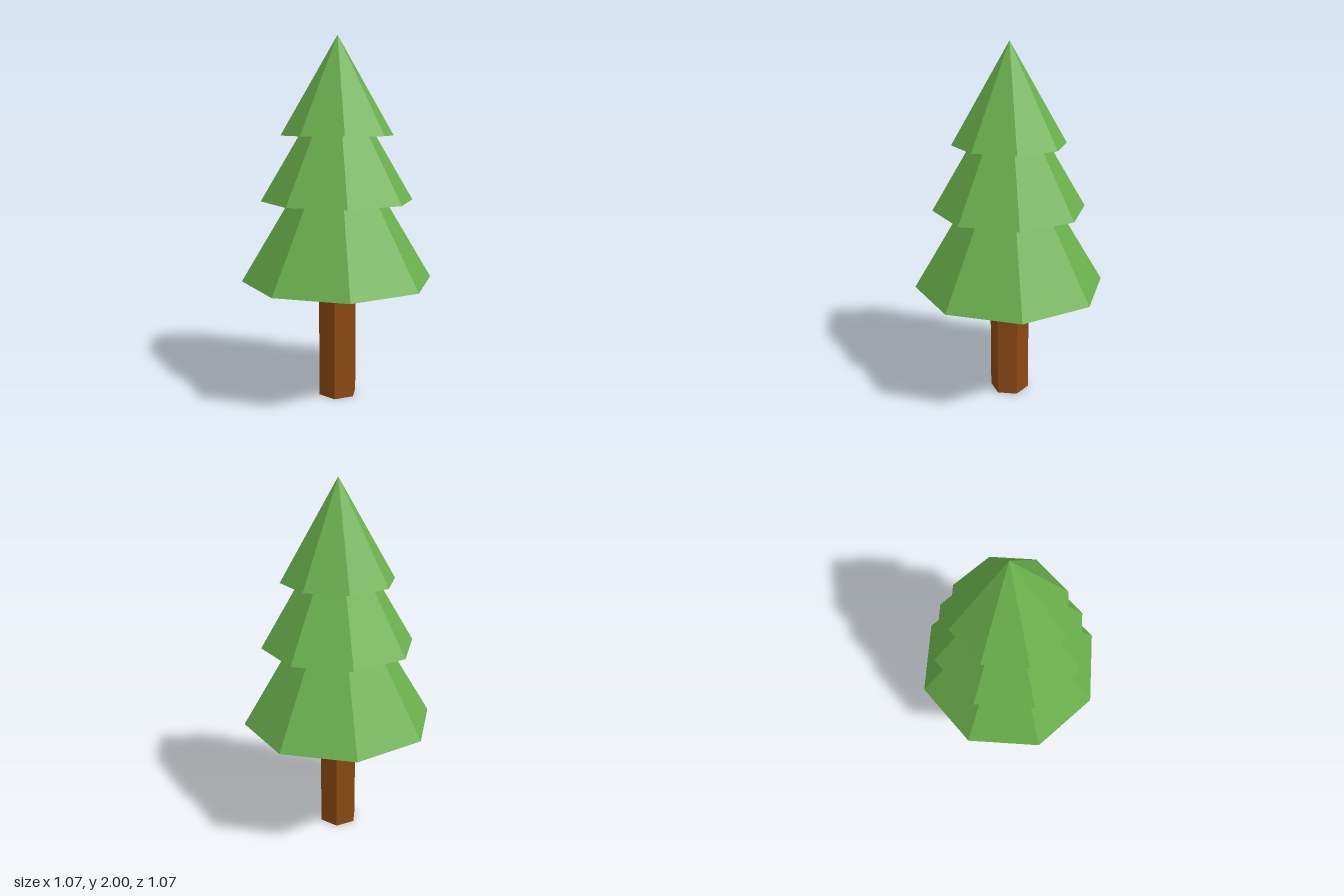
import * as THREE from 'three';

export function createModel() {
  const tree = new THREE.Group();
  tree.name = 'pineTree';

  const bark = new THREE.MeshStandardMaterial({ color: 0x8b4a12 });
  bark.name = 'bark brown';
  const leaf = new THREE.MeshStandardMaterial({ color: 0x6ab04c });
  leaf.name = 'leaf green';

  // Flat facets come from unshared vertices with face normals
  const addPart = (name, geometry, material, baseY, height) => {
    const flat = geometry.toNonIndexed();
    flat.computeVertexNormals();
    const mesh = new THREE.Mesh(flat, material);
    mesh.name = name;
    mesh.position.y = baseY + height / 2;
    tree.add(mesh);
  };

  // Six-sided trunk
  const trunkHeight = 0.667;
  addPart('trunk', new THREE.CylinderGeometry(0.111, 0.111, trunkHeight, 6), bark, 0, trunkHeight);

  // Three overlapping eight-sided tiers: name, radius, height, base
  const tiers = [
    ['lowerFoliage', 0.533, 0.889, 0.667],
    ['middleFoliage', 0.422, 0.711, 1.111],
    ['topFoliage', 0.311, 0.533, 1.467],
  ];
  for (const [name, radius, height, baseY] of tiers) {
    addPart(name, new THREE.ConeGeometry(radius, height, 8), leaf, baseY, height);
  }

  return tree;
}
